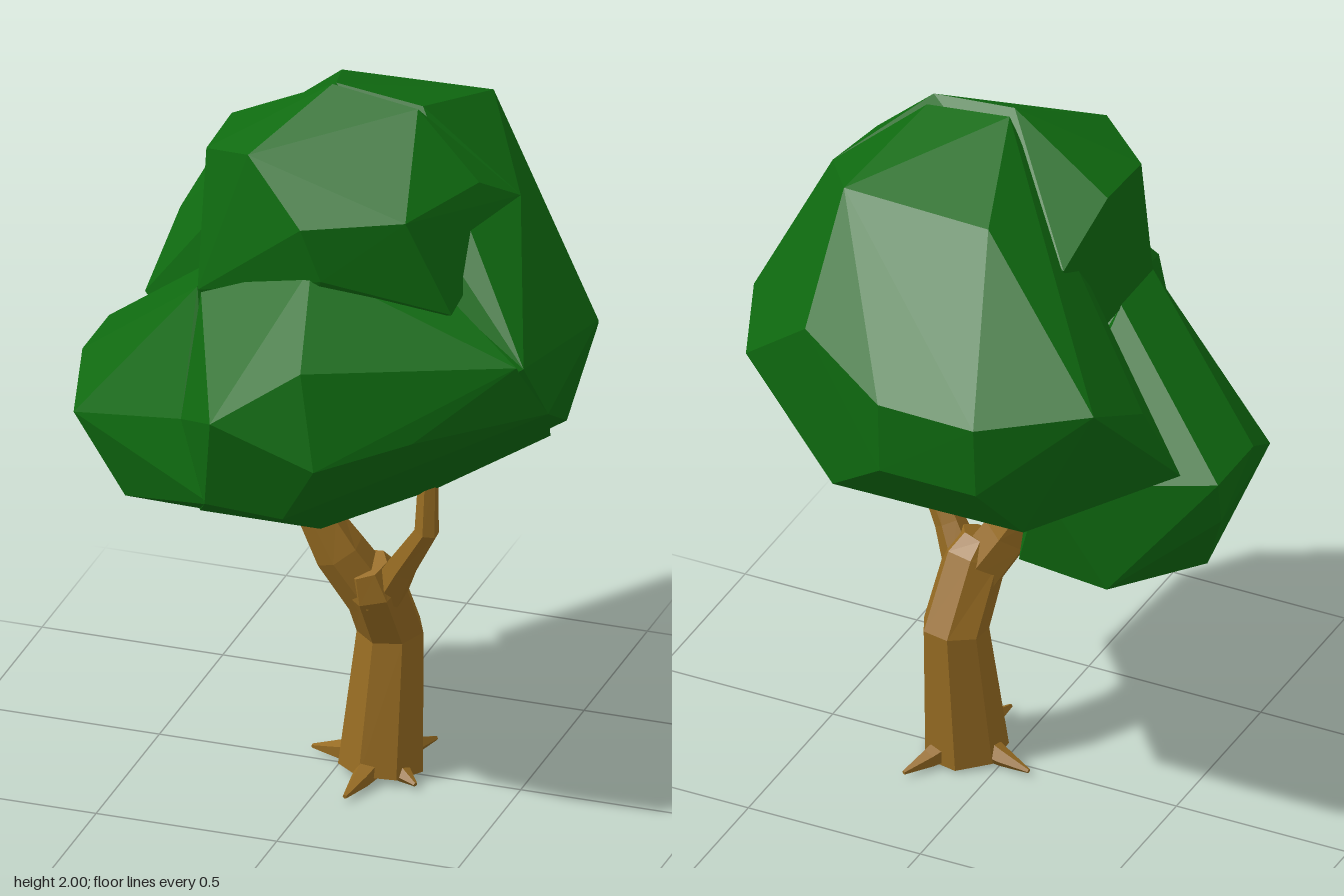
import * as THREE from 'three';
import { ConvexGeometry } from 'three/addons/geometries/ConvexGeometry.js';

const V = (p) => new THREE.Vector3(p[0], p[1], p[2]);

// Faceted limb: stations are [x, y, z, radius], closed at both ends
function limbGeometry(stations, sides = 6) {
  const pts = stations.map(V), n = pts.length;
  const dir = pts[n - 1].clone().sub(pts[0]).normalize();
  const ref = Math.abs(dir.y) < 0.3 ? V([0, 1, 0]) : V([0, 0, 1]);
  const rings = pts.map((p, i) => {
    const t = pts[Math.min(i + 1, n - 1)].clone().sub(pts[Math.max(i - 1, 0)]).normalize();
    const u = ref.clone().cross(t).normalize();
    const v = t.clone().cross(u);
    return Array.from({ length: sides }, (_, j) => {
      const a = (j + 0.5) / sides * Math.PI * 2, r = stations[i][3];
      return p.clone().addScaledVector(u, Math.cos(a) * r).addScaledVector(v, Math.sin(a) * r);
    });
  });
  const tris = [];
  for (let j = 0; j < sides; j++) {
    const k = (j + 1) % sides;
    for (let i = 0; i < n - 1; i++) {
      const a = rings[i][j], b = rings[i][k], c = rings[i + 1][k], d = rings[i + 1][j];
      tris.push(a, b, c, a, c, d);
    }
    tris.push(pts[n - 1], rings[n - 1][j], rings[n - 1][k], pts[0], rings[0][k], rings[0][j]);
  }
  const g = new THREE.BufferGeometry().setFromPoints(tris);
  g.computeVertexNormals();
  return g;
}

export function createModel() {
  const bark = new THREE.MeshStandardMaterial({ color: 0x966b22 });
  bark.name = 'bark brown';
  const leaf = new THREE.MeshStandardMaterial({ color: 0x0f6b10 });
  leaf.name = 'leaf green';

  const tree = new THREE.Group();
  tree.name = 'tree';
  const wood = new THREE.Group();
  wood.name = 'wood';
  const foliage = new THREE.Group();
  foliage.name = 'foliage';
  tree.add(wood, foliage);

  const limb = (name, stations, sides) => {
    const m = new THREE.Mesh(limbGeometry(stations, sides), bark);
    m.name = name;
    wood.add(m);
  };
  const lobe = (name, points) => {
    const m = new THREE.Mesh(new ConvexGeometry(points.map(V)), leaf);
    m.name = name;
    foliage.add(m);
  };

  // Bent trunk and forked branches
  limb('trunk', [[0.115, 0.015, 0, 0.115], [0.13, 0.4, -0.03, 0.09], [0.115, 0.57, 0.06, 0.085], [0.1, 0.63, 0.08, 0.06]], 7);
  limb('thickBranch', [[0.11, 0.53, 0.05, 0.075], [0.03, 0.66, 0.085, 0.07], [-0.02, 0.75, 0.09, 0.06], [-0.01, 0.86, 0.06, 0.05]]);
  limb('slimBranch', [[0.15, 0.55, 0.06, 0.055], [0.2, 0.64, 0.085, 0.042], [0.28, 0.77, 0.115, 0.033], [0.28, 0.95, 0.1, 0.026]]);
  limb('twig', [[-0.03, 0.73, 0.05, 0.024], [-0.1, 0.76, 0, 0.014], [-0.17, 0.78, -0.07, 0.007]], 5);

  // Roots spreading from the trunk foot
  const roots = [[0.09, 0.22], [0.2, -0.19], [0.24, 0.09], [-0.09, -0.04]];
  for (const [x, z] of roots) {
    const cx = 0.115, mx = cx + (x - cx) * 0.6, mz = z * 0.6;
    limb('root', [[cx, 0.05, 0, 0.05], [mx, 0.026, mz, 0.026], [x, 0.016, z, 0.006]], 5);
  }

  // Large rear and right mass
  lobe('mainCrown', [
    [0, 1.99, 0.03], [0.24, 1.96, 0.03], [0.32, 1.87, -0.3], [-0.1, 1.86, -0.3],
    [-0.27, 1.7, -0.2], [-0.5, 1.5, -0.49], [-0.54, 1.4, -0.28], [-0.61, 1.18, -0.2],
    [-0.22, 1.46, -0.635], [0.06, 1.46, -0.63], [-0.22, 1.25, -0.62], [0.06, 1.25, -0.62],
    [0.33, 1.55, -0.51], [0.62, 1.25, -0.27], [0.68, 1.35, -0.1], [0.5, 1.73, 0],
    [0.41, 1.5, 0.25], [0.62, 1.39, 0.32], [0.66, 1.23, 0.24], [0.61, 1.07, -0.05],
    [0.25, 1.09, -0.51], [-0.3, 1.09, -0.5], [0, 0.98, -0.32], [0.3, 0.89, 0.05],
    [-0.1, 0.82, 0.1],
  ]);

  // Cap bulging forward at the top
  lobe('topLobe', [
    [0, 2, 0.06], [0.24, 1.97, 0.07], [-0.3, 1.84, 0], [-0.3, 1.83, 0.2],
    [-0.15, 1.88, 0.3], [0.04, 1.75, 0.43], [0.3, 1.77, 0.34], [0.42, 1.8, 0.1],
    [0.5, 1.73, 0], [0.41, 1.5, 0.29], [0.09, 1.6, 0.41], [-0.3, 1.45, 0.27],
    [-0.3, 1.45, 0], [-0.27, 1.72, -0.2], [0.3, 1.4, 0], [0, 1.4, 0.3],
  ]);

  // Broad front lobe
  lobe('frontLobe', [
    [-0.14, 1.25, 0.63], [0.15, 1.16, 0.64], [0.1, 1.42, 0.6], [0.37, 1.21, 0.49],
    [0.03, 0.96, 0.54], [-0.2, 0.95, 0.5], [-0.29, 1.15, 0.43], [0.41, 1.51, 0.25],
    [0.05, 1.62, 0.37], [-0.28, 1.46, 0.3], [0.6, 1.39, 0.32], [0.66, 1.23, 0.24],
    [0.6, 1.07, 0.05], [0.3, 0.89, 0.1], [0.04, 0.81, 0.27], [-0.3, 0.8, 0.25],
    [-0.3, 1.1, 0],
  ]);

  // Low lobe on the right-hand side
  lobe('sideLobe', [
    [-0.685, 1.13, 0.08], [-0.685, 1.13, -0.13], [-0.68, 1.0, -0.1], [-0.65, 1.03, 0.25],
    [-0.58, 0.77, 0.02], [-0.5, 0.82, 0.27], [-0.37, 0.7, 0], [-0.42, 0.8, -0.25],
    [-0.15, 0.8, -0.22], [-0.3, 1.46, 0.08], [-0.3, 1.46, 0.27], [-0.29, 1.15, 0.43],
    [-0.18, 0.95, 0.5], [0.04, 0.81, 0.27], [-0.1, 0.77, 0.1], [-0.25, 1.1, -0.3],
  ]);

  return tree;
}
